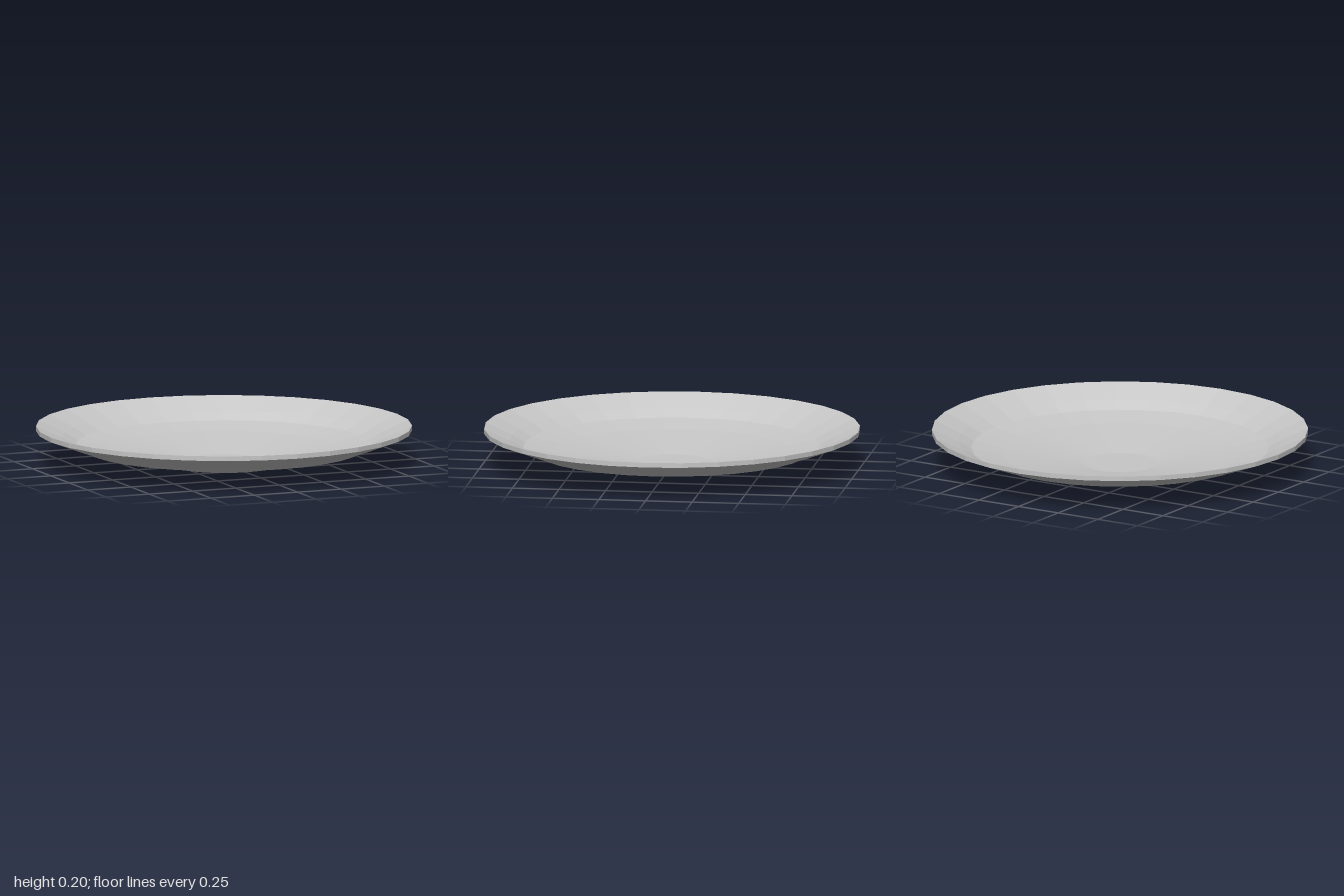
import * as THREE from 'three';

export function createModel() {
  const group = new THREE.Group();
  group.name = 'plate';
  const ceramic = new THREE.MeshStandardMaterial({ color: 0xc6c6c6, flatShading: true });
  ceramic.name = 'grey ceramic';
  const sides = 32;

  // A faceted surface of revolution through [radius, height] points
  function turned(name, profile) {
    const points = profile.map(([r, y]) => new THREE.Vector2(r, y));
    const mesh = new THREE.Mesh(new THREE.LatheGeometry(points, sides), ceramic);
    mesh.name = name;
    group.add(mesh);
  }

  // Underside: flat base, shallow cone, small step and flared rim
  turned('underside', [
    [0, 0], [0.3, 0], [0.64, 0.069], [0.745, 0.083],
    [0.78, 0.1], [0.815, 0.11], [1, 0.18],
  ]);

  // Thin vertical edge of the rim
  turned('rimEdge', [[1, 0.18], [1, 0.205]]);

  // Eating surface: rim, inner slope, shallow bowl and flat middle
  turned('bowl', [
    [1, 0.205], [0.86, 0.142], [0.79, 0.104], [0.63, 0.074], [0.2, 0.02], [0, 0.02],
  ]);

  return group;
}
